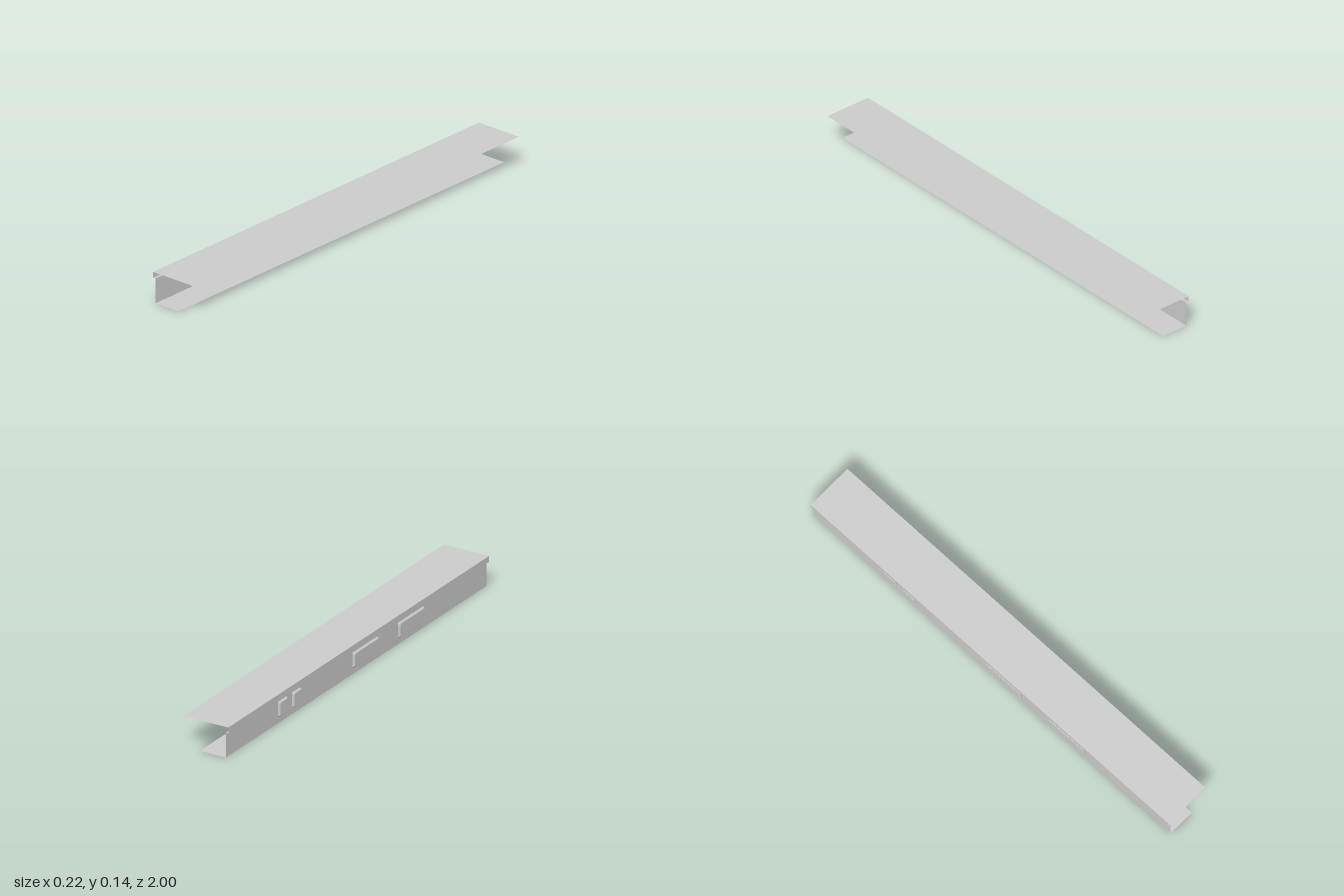
import * as THREE from 'three';

const grey = new THREE.MeshStandardMaterial({ color: 0xcccccc, flatShading: true });
const sheet = new THREE.MeshStandardMaterial({ color: 0xcccccc, side: THREE.DoubleSide });

const WALL_X = -0.096;
const LENGTH = 2;

// Flat thin sheet along z, between two points of the channel's cross-section
function strip(name, [x1, y1], [x2, y2]) {
  const g = new THREE.PlaneGeometry(Math.hypot(x2 - x1, y2 - y1), LENGTH);
  g.rotateX(-Math.PI / 2);
  g.rotateZ(Math.atan2(y2 - y1, x2 - x1));
  g.translate((x1 + x2) / 2, (y1 + y2) / 2, 0);
  const mesh = new THREE.Mesh(g, sheet);
  mesh.name = name;
  return mesh;
}

// Rectangle with cut corners in the z-y plane, counterclockwise from outside
function ring(x, z0, z1, y0, y1, inset, c) {
  const a = z0 + inset, b = z1 - inset, d = y0 + inset, e = y1 - inset;
  return [[a + c, d], [b - c, d], [b, d + c], [b, e - c],
    [b - c, e], [a + c, e], [a, e - c], [a, d + c]].map(([z, y]) => [x, y, z]);
}

// Raised pad with a bevelled rim, standing out from the wall
function pad(name, z0, z1) {
  const rings = [[0, WALL_X], [0, -0.1], [0.005, -0.105]]
    .map(([inset, x]) => ring(x, z0, z1, 0.026, 0.095, inset, 0.006));
  const pos = [];
  const tri = (...p) => p.forEach((v) => pos.push(...v));
  for (let k = 0; k < 2; k++) {
    const lo = rings[k], hi = rings[k + 1];
    for (let i = 0; i < 8; i++) {
      const j = (i + 1) % 8;
      tri(lo[i], lo[j], hi[j]);
      tri(lo[i], hi[j], hi[i]);
    }
  }
  const face = rings[2];
  for (let i = 1; i < 7; i++) tri(face[0], face[i], face[i + 1]);
  const g = new THREE.BufferGeometry();
  g.setAttribute('position', new THREE.Float32BufferAttribute(pos, 3));
  g.computeVertexNormals();
  const mesh = new THREE.Mesh(g, grey);
  mesh.name = name;
  return mesh;
}

export function createModel() {
  const model = new THREE.Group();
  model.name = 'channel';

  // Folded sheet: top, short fascia, lip, wall and narrower bottom
  const section = [[0.108, 0.136], [-0.108, 0.136], [-0.108, 0.11],
    [WALL_X, 0.11], [WALL_X, 0], [0.028, 0]];
  ['topSheet', 'fascia', 'lip', 'wall', 'bottomSheet'].forEach((name, i) => {
    model.add(strip(name, section[i], section[i + 1]));
  });

  // Two small and two long pads along the wall
  [['smallPad1', -0.6, -0.532], ['smallPad2', -0.492, -0.424],
    ['longPad1', -0.028, 0.168], ['longPad2', 0.32, 0.52]]
    .forEach((p) => model.add(pad(...p)));

  return model;
}
